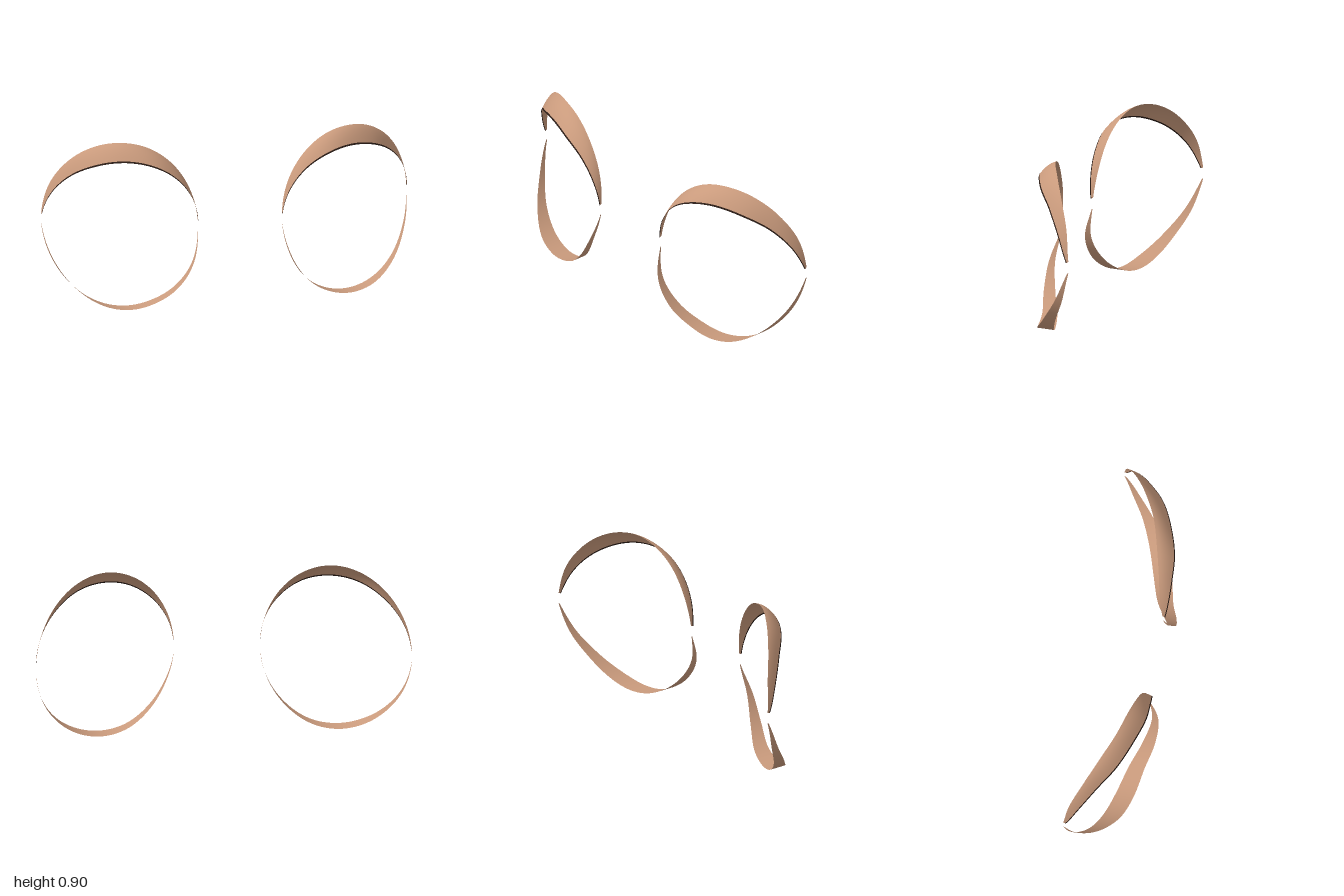
import * as THREE from 'three';

const SKIN = new THREE.MeshStandardMaterial({ color: 0xc99a7c, side: THREE.DoubleSide });
const DARK = new THREE.MeshStandardMaterial({ color: 0x2a1c16, side: THREE.DoubleSide });

const CX = 0.615, CY = 0.45, RX = 0.385; // centre and half width of the eye opening

// Smooth depth along the lid, from inner corner (t = 0) to outer corner (t = 1)
function depth(values) {
  const curve = new THREE.CatmullRomCurve3(values.map((z, i) => new THREE.Vector3(i, 0, z)));
  return t => curve.getPoint(t).z;
}

// Edge of a lid: half an ellipse in front view; a negative height hangs below
const edge = (height, z) => t => {
  const a = THREE.MathUtils.degToRad(4 + 172 * t);
  return new THREE.Vector3(CX - RX * Math.cos(a), CY + height * Math.sin(a), z(t));
};

// Ribbon between two edges, optionally arched across its width
function ribbon(name, back, front, side, material, arch = 0, across = 6) {
  const along = 64, pos = [], index = [];
  for (let i = 0; i <= along; i++) {
    const t = i / along, a = back(t), b = front(t);
    for (let j = 0; j <= across; j++) {
      const v = j / across, p = a.clone().lerp(b, v);
      p.y += arch * 4 * v * (1 - v) * Math.sin(Math.PI * t);
      pos.push(side * p.x, p.y, p.z);
      if (i < along && j < across) {
        const k = i * (across + 1) + j, n = k + across + 1;
        if (side > 0) index.push(k, k + 1, n, k + 1, n + 1, n);
        else index.push(k, n, k + 1, k + 1, n, n + 1);
      }
    }
  }
  const geo = new THREE.BufferGeometry();
  geo.setAttribute('position', new THREE.Float32BufferAttribute(pos, 3));
  geo.setIndex(index);
  geo.computeVertexNormals();
  const mesh = new THREE.Mesh(geo, material);
  mesh.name = name;
  return mesh;
}

export function createModel() {
  const upperBackZ = depth([0.13, 0.11, 0.09, 0.06, 0.02, -0.045, -0.115, -0.175, -0.2]);
  const upperFrontZ = depth([0.14, 0.153, 0.158, 0.152, 0.11, 0.045, -0.05, -0.13, -0.19]);
  const lowerBackZ = depth([0.134, 0.155, 0.121, 0.063, 0.02, -0.024, -0.08, -0.15, -0.2]);
  const lowerFrontZ = depth([0.138, 0.19, 0.186, 0.148, 0.118, 0.07, -0.014, -0.112, -0.193]);

  const upperBack = edge(0.45, upperBackZ), upperFront = edge(0.374, upperFrontZ);
  const lashEdge = edge(0.366, t => upperFrontZ(t) + 0.005);
  const lowerBack = edge(-0.45, lowerBackZ), lowerFront = edge(-0.446, lowerFrontZ);

  const model = new THREE.Group();
  model.name = 'eyelids';
  for (const [label, side] of [['left', 1], ['right', -1]]) {
    const eye = new THREE.Group();
    eye.name = label + 'Eyelids';
    eye.add(
      ribbon('upperLid', upperBack, upperFront, side, SKIN, 0.012),
      ribbon('lashLine', upperFront, lashEdge, side, DARK, 0, 1),
      ribbon('lowerLid', lowerFront, lowerBack, side, SKIN)
    );
    model.add(eye);
  }
  return model;
}
